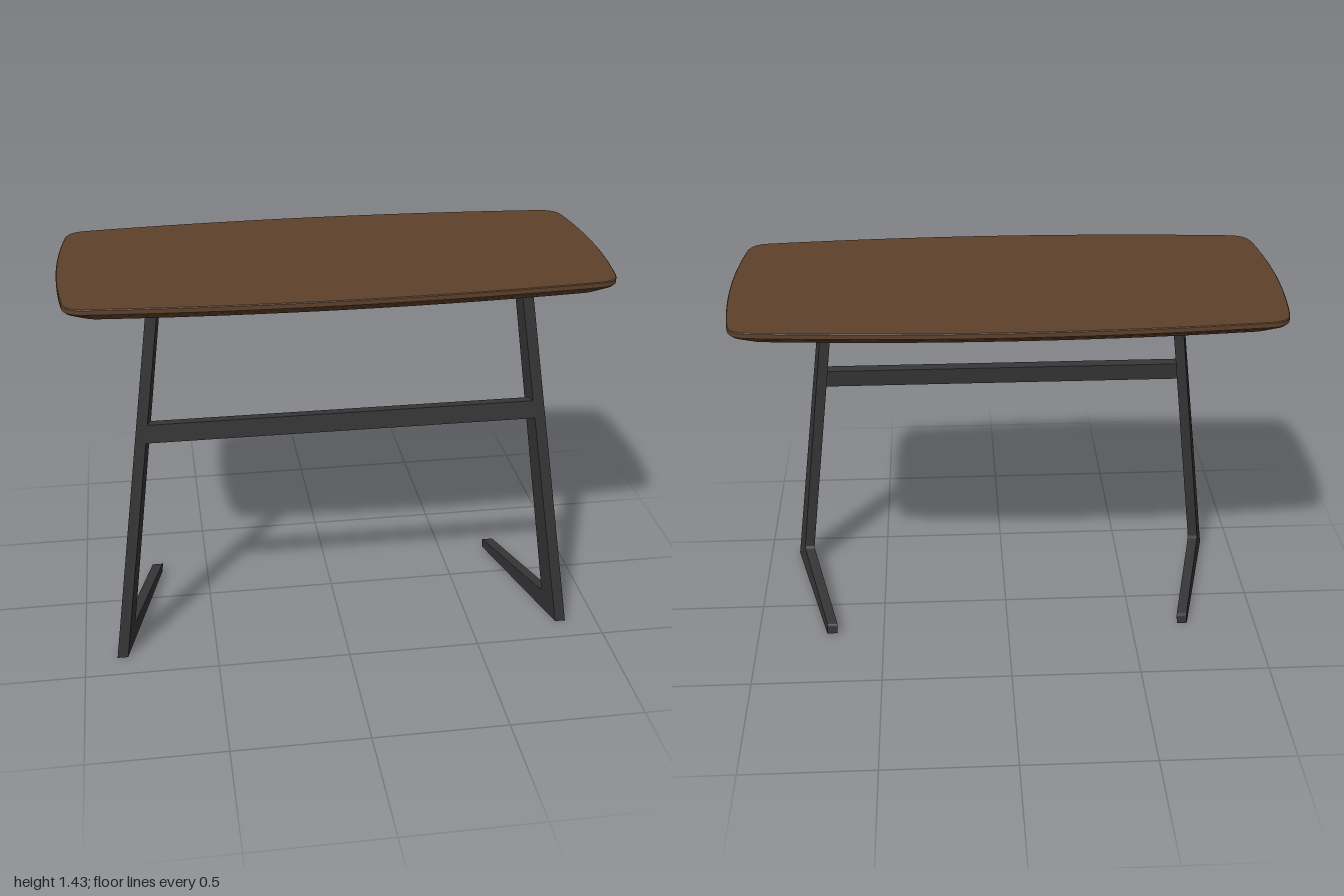
import * as THREE from 'three';
import { toCreasedNormals } from 'three/addons/utils/BufferGeometryUtils.js';

const wood = new THREE.MeshStandardMaterial({ color: 0x5e412b });
wood.name = 'walnut';
const metal = new THREE.MeshStandardMaterial({ color: 0x363636 });
metal.name = 'dark metal';

function addMesh(parent, name, geometry, material) {
  const mesh = new THREE.Mesh(geometry, material);
  mesh.name = name;
  parent.add(mesh);
  return mesh;
}

// Bowed rectangle with rounded corners, in x and z
function topOutline() {
  const s = new THREE.Shape();
  s.moveTo(0.9, -0.408);
  s.bezierCurveTo(0.95, -0.402, 0.97, -0.38, 0.977, -0.33);
  s.quadraticCurveTo(1.023, 0, 0.977, 0.33);
  s.bezierCurveTo(0.97, 0.38, 0.95, 0.402, 0.9, 0.408);
  s.quadraticCurveTo(0, 0.488, -0.9, 0.408);
  s.bezierCurveTo(-0.95, 0.402, -0.97, 0.38, -0.977, 0.33);
  s.quadraticCurveTo(-1.023, 0, -0.977, -0.33);
  s.bezierCurveTo(-0.97, -0.38, -0.95, -0.402, -0.9, -0.408);
  s.quadraticCurveTo(0, -0.488, 0.9, -0.408);
  return s.getPoints(14).slice(0, -1);
}

// Stacked outlines, with a bevelled underside
function tabletopGeometry() {
  const outline = topOutline();
  const n = outline.length;
  // x scale, z scale, height
  const rings = [[0, 0, 1.38], [0.945, 0.9, 1.38], [0.993, 0.987, 1.406],
    [1, 1, 1.414], [1, 1, 1.43], [0.997, 0.994, 1.433], [0, 0, 1.433]];
  const positions = [];
  const index = [];
  rings.forEach(([sx, sz, y], r) => {
    outline.forEach((p, i) => {
      positions.push(p.x * sx, y, p.y * sz);
      if (r === rings.length - 1) return;
      const a = r * n + i, b = r * n + (i + 1) % n;
      if (r > 0) index.push(a, a + n, b);
      if (r < rings.length - 2) index.push(b, a + n, b + n);
    });
  });
  const g = new THREE.BufferGeometry();
  g.setAttribute('position', new THREE.Float32BufferAttribute(positions, 3));
  g.setIndex(index);
  return toCreasedNormals(g, 0.45);
}

// Side frame: foot, upright and top arm in one plate, leaning and toed inwards
function sideFrameGeometry(side) {
  const s = new THREE.Shape();
  s.moveTo(0.395, 0);
  s.lineTo(0.28, 1.38);
  s.lineTo(-0.265, 1.38);
  s.lineTo(-0.265, 1.337);
  s.quadraticCurveTo(-0.265, 1.33, -0.258, 1.33);
  s.lineTo(0.208, 1.328);
  s.quadraticCurveTo(0.223, 1.328, 0.224, 1.312);
  s.lineTo(0.298, 0.104);
  s.quadraticCurveTo(0.298, 0.088, 0.283, 0.086);
  s.lineTo(-0.183, 0.043);
  s.quadraticCurveTo(-0.195, 0.041, -0.195, 0.03);
  s.lineTo(-0.195, 0);
  const g = new THREE.ExtrudeGeometry(s, { depth: 0.04, bevelEnabled: false, curveSegments: 4 }).toNonIndexed();
  const p = g.attributes.position;
  for (let i = 0; i < p.count; i++) {
    const z = p.getX(i), y = p.getY(i), depth = p.getZ(i);
    const front = 0.395 - 0.0833 * y;
    const outer = 0.88 - 0.1377 * y + (0.26 - 0.04 * y) * (z - front);
    p.setXYZ(i, side * (outer - depth), y, z);
  }
  // Reverse the corners of the mirrored frame
  if (side < 0) {
    const v = new THREE.Vector3(), w = new THREE.Vector3();
    for (let i = 0; i < p.count; i += 3) {
      v.fromBufferAttribute(p, i + 1);
      w.fromBufferAttribute(p, i + 2);
      p.setXYZ(i + 1, w.x, w.y, w.z);
      p.setXYZ(i + 2, v.x, v.y, v.z);
    }
  }
  g.computeVertexNormals();
  return g;
}

export function createModel() {
  const desk = new THREE.Group();
  desk.name = 'desk';

  addMesh(desk, 'tabletop', tabletopGeometry(), wood);

  for (const side of [1, -1]) {
    const label = side > 0 ? 'left' : 'right';
    addMesh(desk, label + 'SideFrame', sideFrameGeometry(side), metal);
    // Small fixing under the rear rail
    const bolt = addMesh(desk, label + 'Bolt', new THREE.CylinderGeometry(0.014, 0.014, 0.02, 16), metal);
    bolt.position.set(side * 0.505, 1.337, -0.243);
  }

  // Front stretcher, leaning with the uprights
  const stretcher = addMesh(desk, 'stretcher', new THREE.BoxGeometry(1.465, 0.07, 0.04), metal);
  stretcher.position.set(0, 0.905, 0.3);
  stretcher.rotation.x = -0.083;

  // Rear rail joining the arms under the top
  const rail = addMesh(desk, 'rearRail', new THREE.BoxGeometry(1.11, 0.042, 0.04), metal);
  rail.position.set(0, 1.359, -0.243);

  return desk;
}
